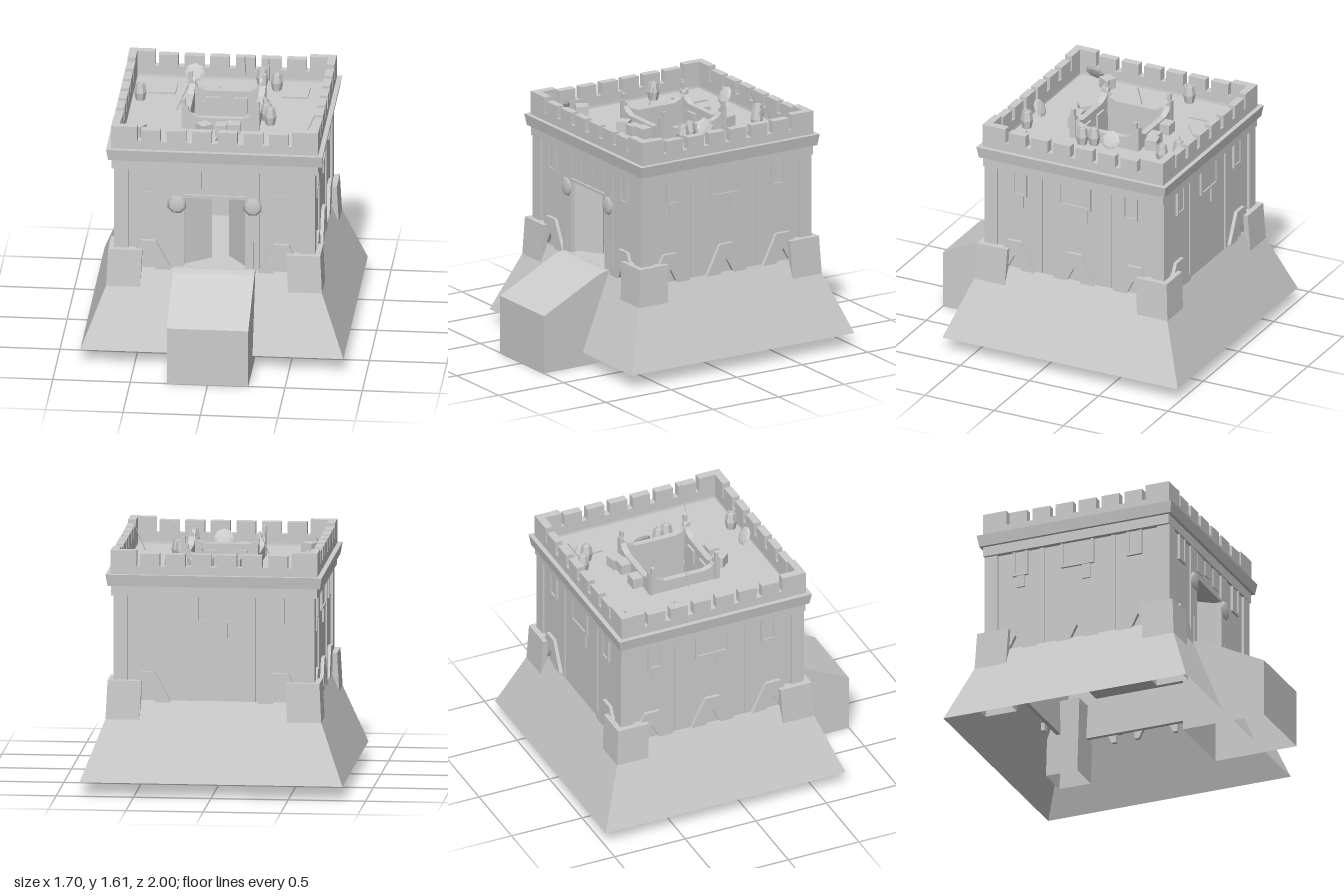
import * as THREE from 'three';

// open shells (skirt, turret feet, ramp) show both sides
const stone = new THREE.MeshStandardMaterial({ color: 0xcccccc, side: THREE.DoubleSide });
stone.name = 'stone grey';
const CZ = -0.145; // tower centre in z

function add(parent, name, geo, x = 0, y = 0, z = 0, rx = 0, ry = 0, rz = 0) {
  const m = new THREE.Mesh(geo, stone);
  m.name = name;
  m.position.set(x, y, z);
  m.rotation.set(rx, ry, rz);
  parent.add(m);
  return m;
}

function group(parent, name, z = 0) {
  const g = new THREE.Group();
  g.name = name;
  g.position.z = z;
  parent.add(g);
  return g;
}

// box given by its limits
function block(parent, name, x0, x1, y0, y1, z0, z1) {
  return add(parent, name, new THREE.BoxGeometry(x1 - x0, y1 - y0, z1 - z0),
    (x0 + x1) / 2, (y0 + y1) / 2, (z0 + z1) / 2);
}

function flat(geo) {
  const g = geo.index ? geo.toNonIndexed() : geo;
  g.computeVertexNormals();
  return g;
}

// box without its bottom face
function openBox(w, h, d) {
  const geo = new THREE.BoxGeometry(w, h, d);
  const index = Array.from(geo.index.array);
  index.splice(18, 6);
  geo.setIndex(index);
  geo.clearGroups();
  return geo;
}

function polygon(points) {
  return new THREE.Shape(points.map(p => new THREE.Vector2(p[0], p[1])));
}

function extrude(shape, depth) {
  return new THREE.ExtrudeGeometry(shape, { depth, bevelEnabled: false });
}

// square ring lying flat from y0 to y1, optionally flaring upwards
function ring(parent, name, outer, inner, y0, y1, flare = 1) {
  const sq = r => [[-r, -r], [r, -r], [r, r], [-r, r]];
  const shape = polygon(sq(outer));
  shape.holes.push(new THREE.Path(sq(inner).reverse().map(p => new THREE.Vector2(...p))));
  const geo = extrude(shape, y1 - y0).rotateX(-Math.PI / 2);
  const p = geo.attributes.position;
  for (let i = 0; i < p.count; i++)
    if (p.getY(i) > (y1 - y0) / 2) p.setXYZ(i, p.getX(i) * flare, p.getY(i), p.getZ(i) * flare);
  return add(parent, name, flat(geo), 0, y0, 0);
}

// corner turret foot, leaning towards the tower as it rises
function turretGeometry() {
  const geo = openBox(0.22, 0.5, 0.22).translate(0.6, 0.48, 0.6);
  const p = geo.attributes.position;
  for (let i = 0; i < p.count; i++)
    if (p.getY(i) > 0.5) p.setXYZ(i, p.getX(i) - 0.025, p.getY(i), p.getZ(i) - 0.025);
  return flat(geo);
}

// pointed buttress with a notch at its foot
function finGeometry() {
  return extrude(polygon([[-0.15, 0.45], [-0.15, 0.59], [-0.05, 0.787], [0.05, 0.787], [0.15, 0.59],
    [0.15, 0.45], [0.12, 0.45], [0.05, 0.59], [0, 0.685], [-0.05, 0.59], [-0.12, 0.45]]), 0.025);
}

function plaque(g, x, w, yLow, frame = true) {
  block(g, 'plaque', x - w / 2, x + w / 2, yLow, 1.29, 0.625, 0.639);
  if (!frame) return;
  for (const s of [-1, 1])
    block(g, 'plaqueFrame', x + s * (w / 2 - 0.008) - 0.008, x + s * (w / 2 - 0.008) + 0.008, yLow, 1.29, 0.63, 0.648);
  block(g, 'plaqueFrame', x - w / 2, x + w / 2, yLow, yLow + 0.016, 0.63, 0.648);
}

function buildFace(tower, k) {
  const g = group(tower, ['frontFace', 'rightFace', 'backFace', 'leftFace'][k]);
  g.rotation.y = k * Math.PI / 2;
  const wall = polygon([[-0.632, 0.5], [0.632, 0.5], [0.632, 1.3], [-0.632, 1.3]]);
  if (k === 0) wall.holes.push(new THREE.Path(
    [[-0.2, 0.61], [-0.2, 1.09], [0.2, 1.09], [0.2, 0.61]].map(p => new THREE.Vector2(...p))));
  add(g, 'wall', extrude(wall, 0.03), 0, 0, 0.602);
  add(g, 'turretFoot', turretGeometry());

  for (const s of [-1, 1]) {
    block(g, 'cornerPilaster', s * 0.604 - 0.045, s * 0.604 + 0.045, 0.5, 1.29, 0.61, 0.649);
    add(g, 'fin', finGeometry(), s * 0.43, 0, 0.63);
    if (k === 0) {
      block(g, 'gatePilaster', s * 0.245 - 0.045, s * 0.245 + 0.045, 0.5, 1.29, 0.61, 0.645);
      plaque(g, s * 0.43, 0.105, 1.105);
      plaque(g, s * 0.13, 0.09, 1.15, false);
      add(g, 'gateShield', new THREE.SphereGeometry(0.064, 8, 4).rotateX(Math.PI / 2).rotateZ(Math.PI / 8)
        .scale(1, 1, 0.2), s * 0.245, 1.045, 0.651);
      block(g, 'gatePole', s * 0.245 - 0.004, s * 0.245 + 0.004, 0.6, 0.8, 0.64, 0.65);
    } else {
      block(g, 'strip', s * 0.25 - 0.015, s * 0.25 + 0.015, 0.5, 1.29, 0.61, 0.642);
      plaque(g, s * 0.4, 0.105, 1.11);
    }
  }
  if (k === 0) {
    plaque(g, 0, 0.085, 1.175, false);
    block(g, 'lintel', -0.2, 0.2, 1.09, 1.11, 0.62, 0.645);
  } else {
    plaque(g, 0, 0.23, 1.11);
    block(g, 'plaqueDrop', 0.032, 0.088, 1.01, 1.11, 0.625, 0.643);
    if (k !== 2) {
      block(g, 'plaqueDrop', -0.428, -0.372, 1.03, 1.11, 0.625, 0.643);
      add(g, 'middleFin', finGeometry(), 0, 0, 0.63);
    }
  }
}

function buildTop(tower) {
  const top = group(tower, 'battlements');
  top.scale.set(1.01, 1, 0.985);
  ring(top, 'band', 0.66, 0.6, 1.28, 1.345);
  ring(top, 'cornice', 0.68, 0.6, 1.345, 1.42, 1.018);
  ring(top, 'parapet', 0.662, 0.61, 1.38, 1.475);
  ring(top, 'roof', 0.63, 0.24, 1.36, 1.4);
  for (let k = 0; k < 4; k++) {
    const side = group(top, 'merlonRow');
    side.rotation.y = k * Math.PI / 2;
    for (let i = -2.5; i <= 2.5; i++)
      block(side, 'merlon', i * 0.164 - 0.062, i * 0.164 + 0.062, 1.475, 1.555, 0.61, 0.662);
    block(side, 'cornerMerlon', 0.495, 0.662, 1.475, 1.575, 0.61, 0.662);
    block(side, 'cornerMerlon', -0.61, -0.495, 1.475, 1.575, 0.61, 0.662);
  }
}

// open shaft in the middle of the roof, reached from the gate
function buildCourtyard(root) {
  const c = group(root, 'courtyard');
  block(c, 'floor', -0.25, 0.25, 0.59, 0.61, -0.4, 0.5);
  block(c, 'backWall', -0.25, 0.25, 0.61, 1.4, -0.4, -0.36);
  block(c, 'frontWall', -0.25, 0.25, 1.09, 1.4, 0.05, 0.09);
  block(c, 'passageCeiling', -0.25, 0.25, 1.09, 1.13, 0.09, 0.47);

  // rim sagging between its corners
  const rim = extrude(polygon([[-0.25, 1.36], [0.25, 1.36], [0.25, 1.56], [0.225, 1.55], [0.19, 1.5], [0.14, 1.48],
    [-0.14, 1.48], [-0.19, 1.5], [-0.225, 1.55], [-0.25, 1.56]]), 0.04);
  const rims = group(c, 'rim', -0.155);
  for (let k = 0; k < 4; k++) {
    const side = group(rims, 'rimSide');
    side.rotation.y = k * Math.PI / 2;
    add(side, 'rimWall', rim, 0, 0, 0.207);
  }

  for (const s of [-1, 1]) {
    block(c, 'sideWall', s * 0.23 - 0.02, s * 0.23 + 0.02, 0.61, 1.4, -0.36, 0.05);
    block(c, 'passageWall', s * 0.23 - 0.02, s * 0.23 + 0.02, 0.61, 1.09, 0.05, 0.47);
    for (const z of [-0.38, 0.07]) {
      block(c, 'cornerPost', s * 0.24 - 0.012, s * 0.24 + 0.012, 1.4, 1.6, z - 0.012, z + 0.012);
      block(c, 'wallHatch', s * 0.09 - 0.045, s * 0.09 + 0.045, 1.34, 1.44,
        z < 0 ? -0.36 : 0.035, z < 0 ? -0.34 : 0.05);
    }
  }
  // gate leaves, standing ajar
  add(c, 'gateLeaf', new THREE.BoxGeometry(0.2, 0.46, 0.02), -0.12, 0.85, 0.41, 0, 0.6, 0);
  add(c, 'gateLeaf', new THREE.BoxGeometry(0.2, 0.46, 0.02), 0.142, 0.85, 0.39, 0, -0.95, 0);
}

function buildProps(root) {
  const g = group(root, 'roofProps');
  const profile = [[0, 0], [0.03, 0], [0.041, 0.055], [0.03, 0.115], [0.024, 0.115], [0.022, 0.105], [0, 0.105]];
  const barrel = flat(new THREE.LatheGeometry(profile.map(p => new THREE.Vector2(...p)), 6));
  for (const [x, z] of [[-0.56, -0.36], [0.2, -0.67], [0.3, -0.6], [0.28, -0.1], [0.31, -0.03], [0.25, 0.4]])
    add(g, 'barrel', barrel, x, 1.4, z, 0, Math.PI / 6, 0);

  for (const [x, z, s, a] of [[-0.095, -0.43, 0.085, 0], [0.085, -0.43, 0.085, 0], [0.16, -0.46, 0.08, 0.2],
    [-0.1, 0.16, 0.08, 0.7], [0.01, 0.155, 0.075, 0], [0.09, 0.125, 0.085, 0.05], [-0.52, 0.21, 0.08, -0.5]])
    add(g, 'crate', new THREE.BoxGeometry(s, 0.07, s), x, 1.435, z, 0, a, 0);
  for (const s of [-1, 1])
    add(g, 'trapdoor', new THREE.BoxGeometry(0.17, 0.012, 0.17), s * 0.428, 1.406, -0.55);

  // leaning shields
  const shield = flat(new THREE.SphereGeometry(0.064, 8, 4).scale(1, 0.2, 1));
  for (const [x, z, rx, rz] of [[-0.24, -0.7, 1.05, 0], [0.055, 0.405, -1.05, 0], [0.28, -0.22, 0, -1.05], [-0.58, 0.33, 0, 1.05]])
    add(g, 'shield', shield, x, 1.455, z, rx, 0, rz);

  // arrows stuck in the roof
  const shaft = new THREE.CylinderGeometry(0.003, 0.003, 0.19, 4);
  const tip = new THREE.ConeGeometry(0.007, 0.03, 4);
  for (const [x, y, z, rx, rz] of [[0.085, 1.5, -0.72, 0.4, 0], [0.24, 1.48, -0.72, 0.25, 0],
    [-0.27, 1.51, -0.155, 0, -0.4], [0.58, 1.485, 0.215, 0, -0.4]]) {
    const a = group(g, 'arrow');
    a.position.set(x, y, z);
    a.rotation.set(rx, 0, rz);
    add(a, 'shaft', shaft);
    add(a, 'tip', tip, 0, 0.09, 0);
  }
}

export function createModel() {
  const root = new THREE.Group();
  root.name = 'fortressTower';
  const tower = group(root, 'tower', CZ);

  // sloping skirt, open below
  const skirt = new THREE.CylinderGeometry(0.65 * Math.SQRT2, 0.85 * Math.SQRT2, 0.51, 4, 1, true).rotateY(Math.PI / 4);
  add(tower, 'skirt', flat(skirt), 0, 0.345, 0);
  for (let k = 0; k < 4; k++) buildFace(tower, k);
  buildTop(tower);
  buildCourtyard(root);
  buildProps(root);

  // entrance ramp: open-bottomed shell of a sloping top strip, front, back and cheeks
  const path = [[1, 0], [1, 0.385], [0.58, 0.597], [0.53, 0.609], [0.43, 0.609], [0.43, 0]];
  const ramp = group(root, 'ramp');
  for (let i = 0; i < path.length - 1; i++) {
    const [[z0, y0], [z1, y1]] = [path[i], path[i + 1]];
    add(ramp, 'rampFace', new THREE.PlaneGeometry(0.526, Math.hypot(z1 - z0, y1 - y0)),
      0, (y0 + y1) / 2, (z0 + z1) / 2, Math.atan2(z1 - z0, y1 - y0), 0, 0);
  }
  const cheek = new THREE.ShapeGeometry(polygon(path));
  for (const s of [-1, 1]) add(ramp, 'rampCheek', cheek.clone().scale(1, 1, s), s * 0.263, 0, 0, 0, -Math.PI / 2, 0);
  return root;
}
